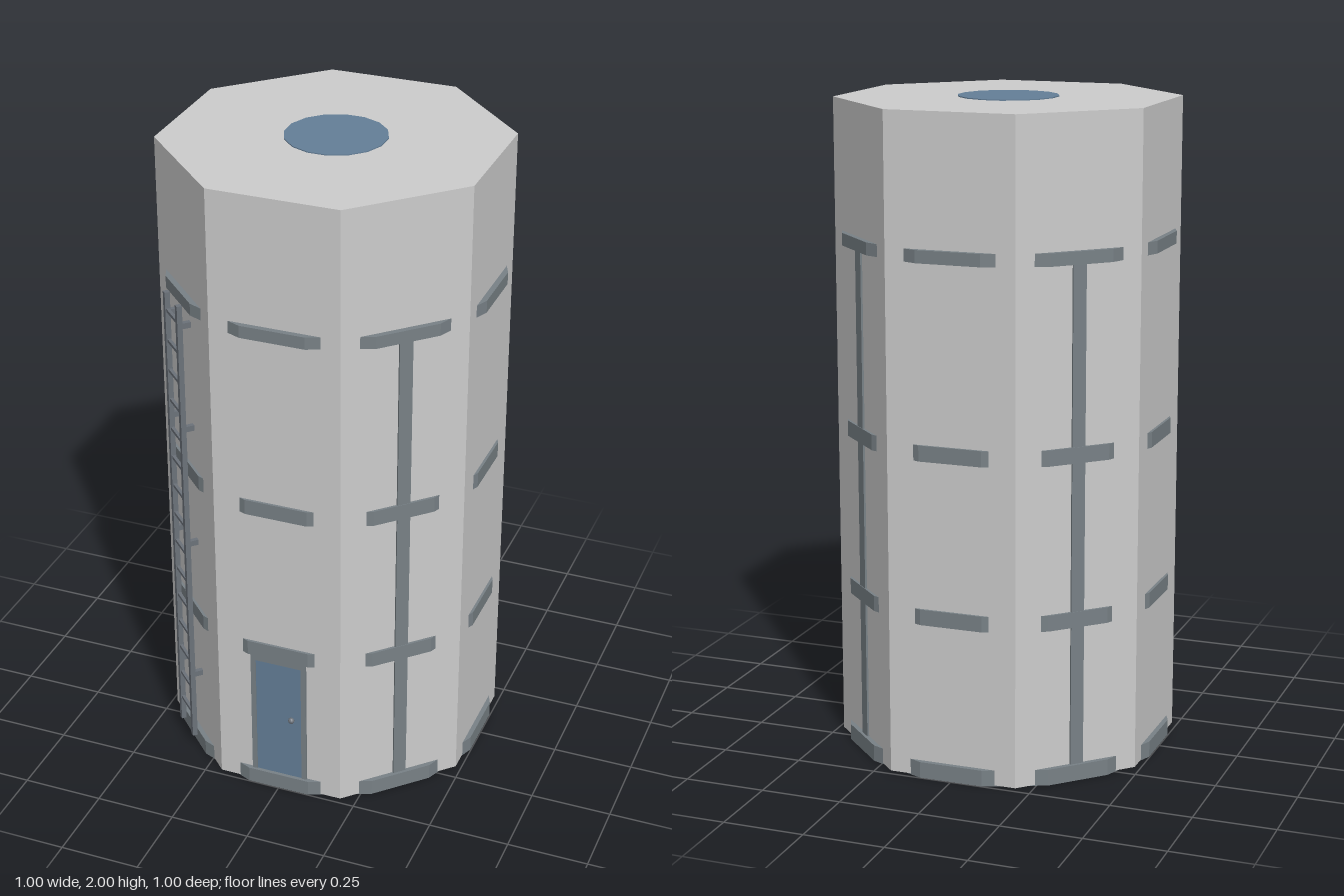
import * as THREE from 'three';

const mat = (name, color) => {
  const m = new THREE.MeshStandardMaterial({ color, flatShading: true });
  m.name = name;
  return m;
};

export function createModel() {
  const concrete = mat('concrete', 0xcccccc);
  const metal = mat('bandMetal', 0x788186);
  const steel = mat('ladderSteel', 0x6c727a);
  const blue = mat('bluePaint', 0x647f98);
  const model = new THREE.Group();
  model.name = 'tower';
  const WALL = 0.483; // distance from the axis to each flat wall

  // Upright prism with a flat side facing the front, sized by its apothem
  const prism = (name, sides, apothem, y0, y1, material) => {
    const r = apothem / Math.cos(Math.PI / sides);
    const g = new THREE.CylinderGeometry(r, r, y1 - y0, sides);
    g.rotateY(Math.PI / sides);
    const m = new THREE.Mesh(g, material);
    m.name = name;
    m.position.y = (y0 + y1) / 2;
    model.add(m);
  };
  const box = (parent, name, x0, x1, y0, y1, z0, z1, material) => {
    const m = new THREE.Mesh(new THREE.BoxGeometry(x1 - x0, y1 - y0, z1 - z0), material);
    m.name = name;
    m.position.set((x0 + x1) / 2, (y0 + y1) / 2, (z0 + z1) / 2);
    parent.add(m);
  };
  // Group turned so that its +z points out of a wall
  const wallGroup = (name, angle) => {
    const g = new THREE.Group();
    g.name = name;
    g.rotation.y = angle;
    model.add(g);
    return g;
  };

  // Octagonal tower and round roof hatch
  prism('towerBody', 8, WALL, 0.003, 1.997, concrete);
  prism('roofHatch', 16, 0.15, 1.99, 2, blue);

  // Sixteen-sided bands that break through the middle of each wall
  [[0, 0.05, 0.498], [0.48, 0.528, 0.491], [0.98, 1.028, 0.491], [1.565, 1.603, 0.5]]
    .forEach(([y0, y1, r]) => prism('band', 16, r, y0, y1, metal));

  // Vertical strips on three diagonal walls
  [1, 3, 5].forEach((k) => {
    const g = wallGroup('stripWall', k * Math.PI / 4);
    box(g, 'verticalStrip', -0.021, 0.021, 0.04, 1.57, WALL - 0.01, WALL + 0.006, metal);
  });

  // Door with frame and knob
  const door = wallGroup('door', 0);
  box(door, 'doorPanel', -0.075, 0.075, 0.045, 0.463, 0.475, 0.487, blue);
  for (const s of [-1, 1]) {
    box(door, 'doorJamb', s * 0.082 - 0.008, s * 0.082 + 0.008, 0.045, 0.482, 0.475, 0.49, metal);
  }
  box(door, 'doorLintel', -0.076, 0.076, 0.462, 0.482, 0.475, 0.49, metal);
  const knob = new THREE.Mesh(new THREE.SphereGeometry(0.01, 10, 8), steel);
  knob.name = 'doorKnob';
  knob.position.set(0.042, 0.265, 0.49);
  door.add(knob);

  // Ladder on the remaining diagonal wall
  const ladder = wallGroup('ladder', -Math.PI / 4);
  for (const s of [-1, 1]) {
    const x = s * 0.05;
    box(ladder, 'ladderRail', x - 0.008, x + 0.008, 0.05, 1.578, 0.509, 0.525, steel);
    for (const y of [0.285, 0.77, 1.17, 1.512]) {
      box(ladder, 'ladderBracket', x - 0.007, x + 0.007, y - 0.009, y + 0.009, 0.478, 0.512, steel);
    }
  }
  for (let i = 0; i < 15; i++) {
    const y = 0.135 + i * 0.099;
    box(ladder, 'ladderRung', -0.045, 0.045, y - 0.005, y + 0.005, 0.512, 0.522, steel);
  }
  return model;
}
